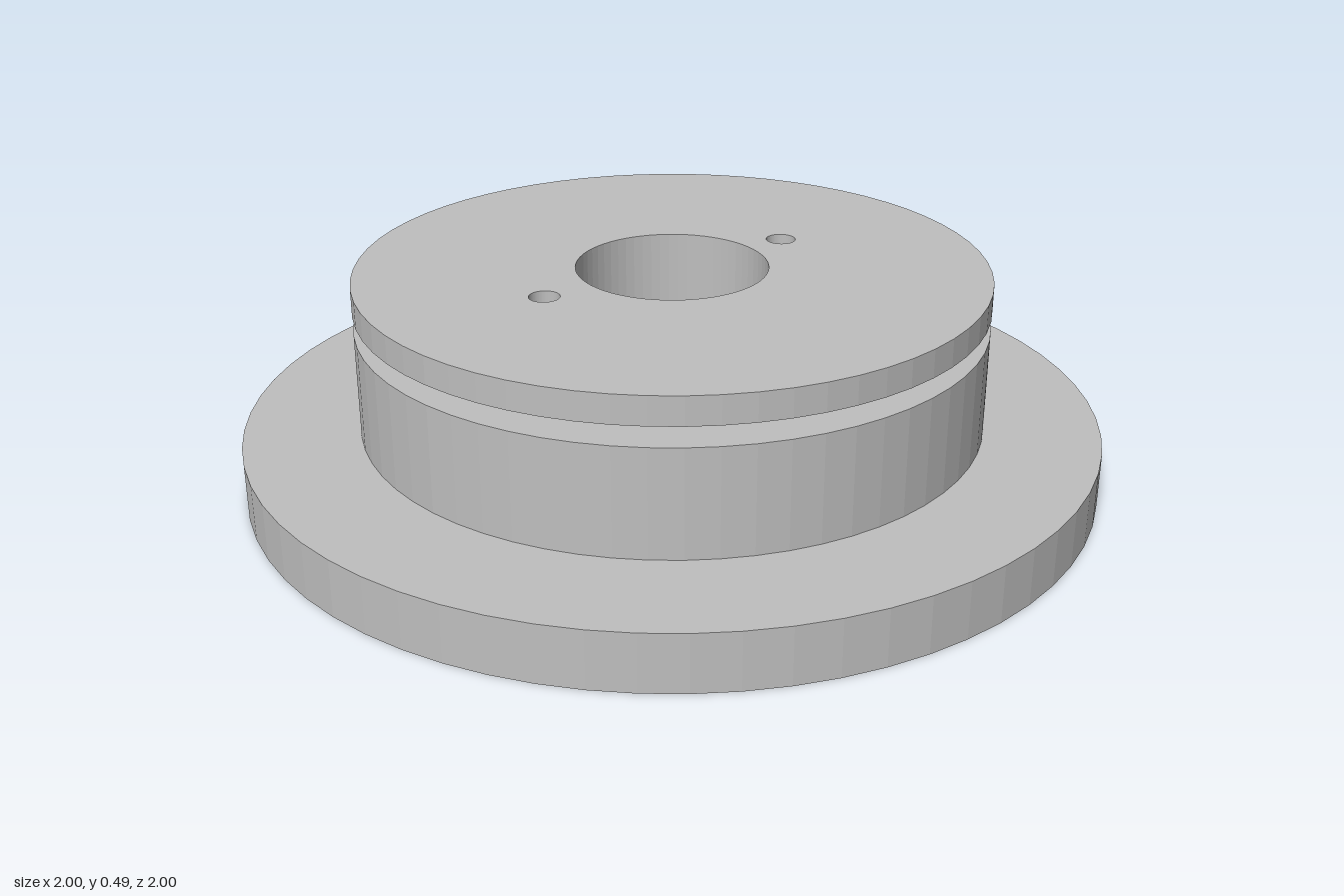
import * as THREE from 'three';

const SEGMENTS = 64;
const BORE = 0.223, NECK = 0.465, HUB = 0.732, RIM = 1;
const FLANGE_TOP = 0.132, HUB_TOP = 0.38, CAP_BASE = 0.425, TOP = 0.49;

export function createModel() {
  const model = new THREE.Group();
  const gray = new THREE.MeshStandardMaterial({ color: 0xbfbfbf });
  gray.name = 'plain gray';
  gray.flatShading = true;

  const add = (name, geometry) => {
    const mesh = new THREE.Mesh(geometry, gray);
    mesh.name = name;
    model.add(mesh);
  };

  // Flange, hub and groove neck, turned around the central bore
  const profile = [
    [BORE, 0], [RIM, 0], [RIM, FLANGE_TOP], [HUB, FLANGE_TOP], [HUB, HUB_TOP],
    [NECK, HUB_TOP], [NECK, CAP_BASE], [BORE, CAP_BASE], [BORE, 0],
  ].map(([r, y]) => new THREE.Vector2(r, y));
  add('flangedHub', new THREE.LatheGeometry(profile, SEGMENTS));

  // Top disc above the groove, with the bore and two small pin holes
  const disc = new THREE.Shape().absarc(0, 0, HUB, 0, Math.PI * 2);
  for (const [x, r] of [[0, BORE], [-0.345, 0.035], [0.322, 0.035]]) {
    disc.holes.push(new THREE.Path().absarc(x, 0, r, 0, Math.PI * 2, true));
  }
  const cap = new THREE.ExtrudeGeometry(disc, {
    depth: TOP - CAP_BASE, bevelEnabled: false, curveSegments: SEGMENTS / 2,
  });
  cap.rotateX(-Math.PI / 2).translate(0, CAP_BASE, 0);
  add('topDisc', cap);

  return model;
}
